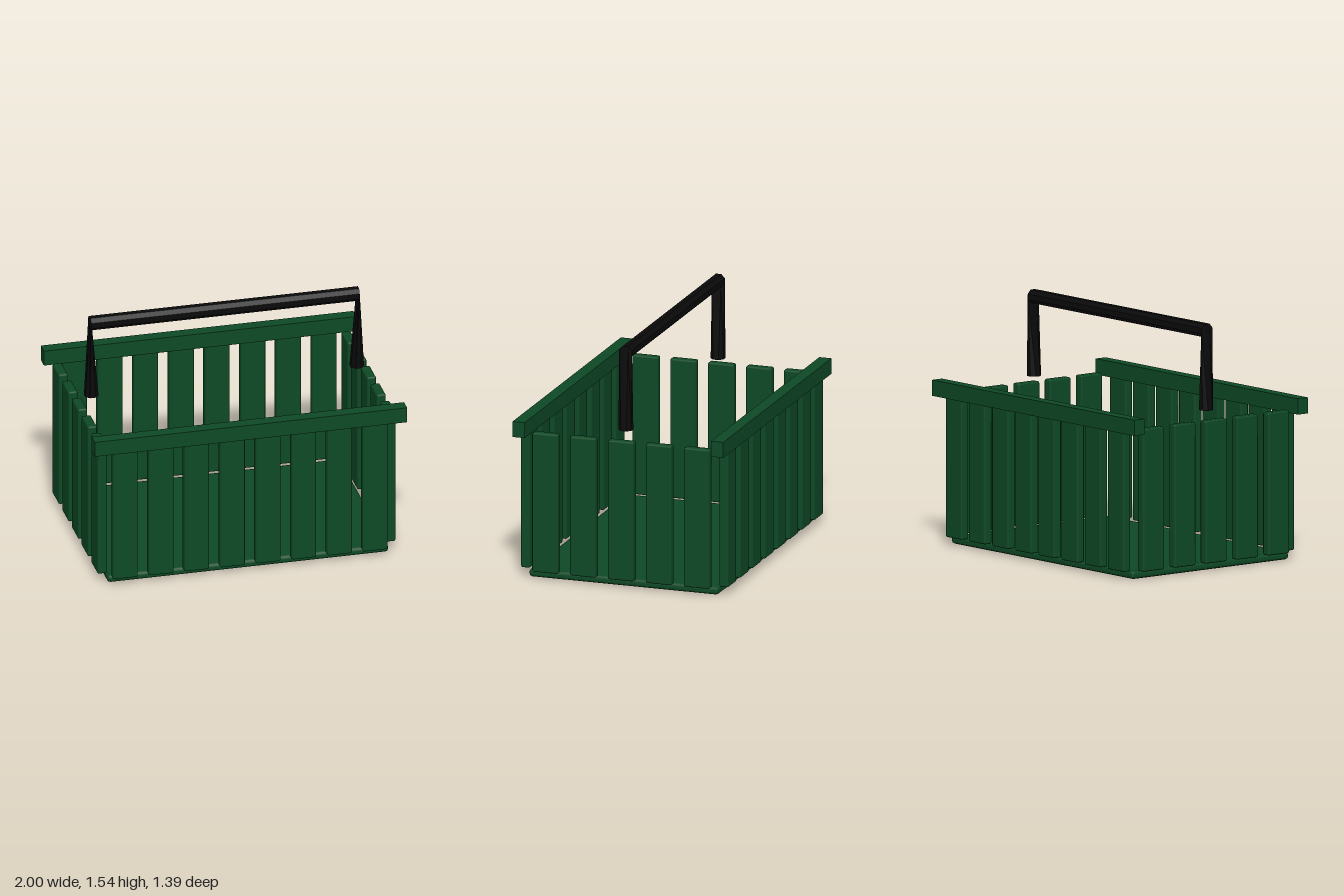
import * as THREE from 'three';
import { RoundedBoxGeometry } from 'three/addons/geometries/RoundedBoxGeometry.js';

const green = new THREE.MeshStandardMaterial({ color: 0x0e4a26 });
green.name = 'basket green';
const black = new THREE.MeshStandardMaterial({ color: 0x0a0a0a });
black.name = 'handle black';

// Octagonal tube lofted through rings; u is each ring's outward direction in the xy plane
function loftHandle(rings, radius, sides = 8) {
  const point = ({ at, u }, j) => {
    const a = ((j + 0.5) / sides) * Math.PI * 2;
    const c = Math.cos(a) * radius, s = Math.sin(a) * radius;
    return [at[0] + u[0] * c, at[1] + u[1] * c, s];
  };
  const pos = [];
  const last = rings.length - 1;
  for (let j = 0; j < sides; j++) {
    for (let i = 0; i < last; i++) {
      const a = point(rings[i], j), b = point(rings[i], j + 1);
      const c = point(rings[i + 1], j), d = point(rings[i + 1], j + 1);
      pos.push(...a, ...b, ...c, ...b, ...d, ...c);
    }
    // End caps
    pos.push(...rings[0].at, 0, ...point(rings[0], j + 1), ...point(rings[0], j));
    pos.push(...rings[last].at, 0, ...point(rings[last], j), ...point(rings[last], j + 1));
  }
  const geo = new THREE.BufferGeometry();
  geo.setAttribute('position', new THREE.Float32BufferAttribute(pos, 3));
  geo.computeVertexNormals();
  return geo;
}

export function createModel() {
  const model = new THREE.Group();
  model.name = 'shoppingBasket';

  const add = (name, geo, mat, x = 0, y = 0, z = 0) => {
    const mesh = new THREE.Mesh(geo, mat);
    mesh.name = name;
    mesh.position.set(x, y, z);
    model.add(mesh);
  };

  // Floor of the basket
  add('base', new RoundedBoxGeometry(1.8, 0.05, 1.25, 1, 0.02), green, 0, 0.025, 0);

  const longSlat = new RoundedBoxGeometry(0.16, 0.9, 0.06, 1, 0.011);
  const endSlat = new RoundedBoxGeometry(0.06, 0.9, 0.17, 1, 0.011);
  const rail = new THREE.BoxGeometry(2, 0.1, 0.08);

  for (const side of [1, -1]) {
    // Front and back walls with their rims
    const wall = side > 0 ? 'front' : 'back';
    for (let i = 0; i < 8; i++) {
      add(wall + 'Slat', longSlat, green, (i - 3.5) * 0.2286, 0.5, side * 0.655);
    }
    add(wall + 'Rim', rail, green, 0, 0.975, side * 0.655);

    // End walls
    for (let i = 0; i < 5; i++) {
      add(side > 0 ? 'leftSlat' : 'rightSlat', endSlat, green, side * 0.925, 0.5, (i - 2) * 0.25);
    }
  }

  // Carrying handle; its legs flatten toward the upper corners
  add('handle', loftHandle([
    { at: [-0.85, 1.0], u: [-1, 0] },
    { at: [-0.857, 1.5], u: [-0.1, 0.98] },
    { at: [0.857, 1.5], u: [0.1, 0.98] },
    { at: [0.85, 1.0], u: [1, 0] },
  ], 0.046), black);

  return model;
}
